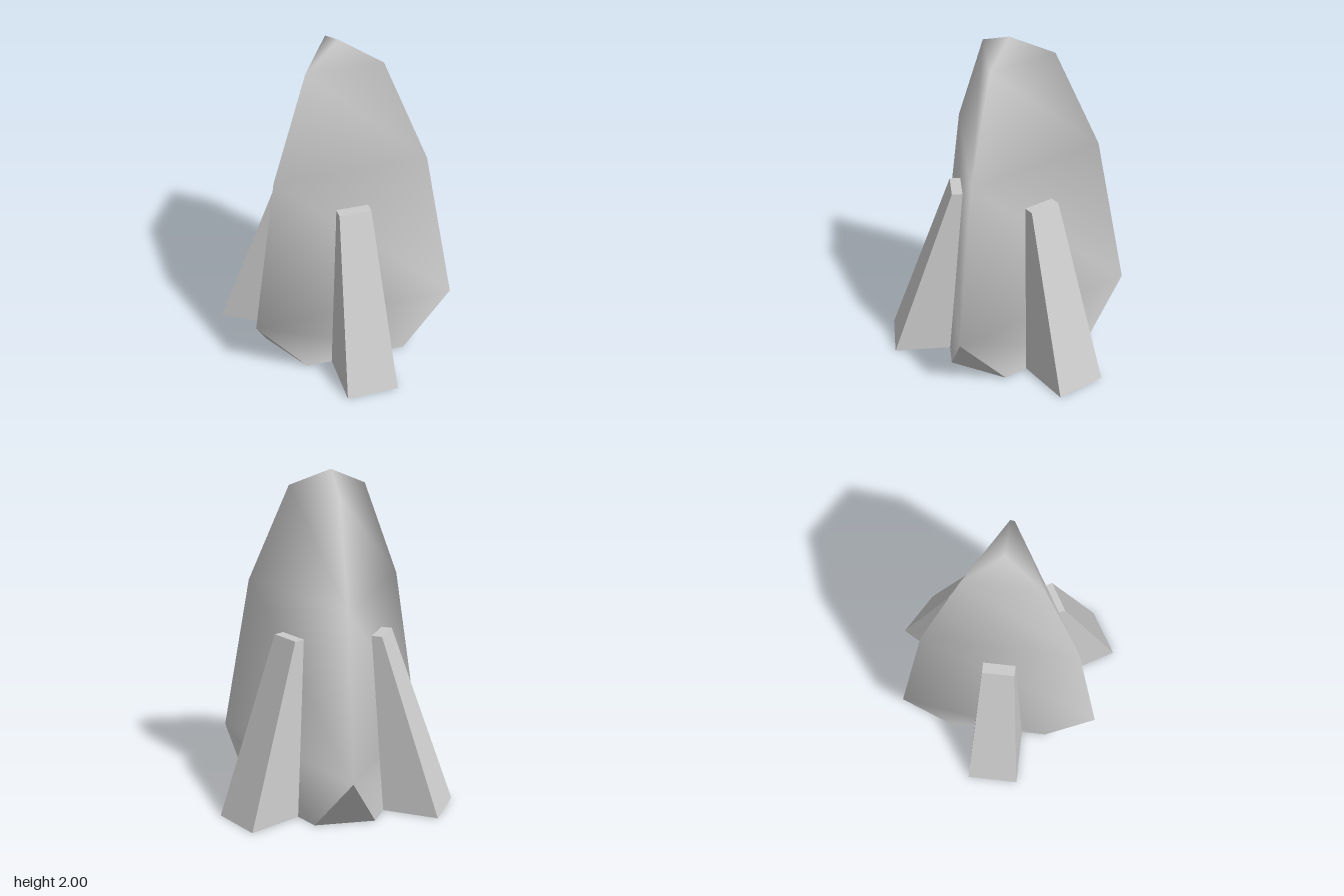
import * as THREE from 'three';

const THIRD = (Math.PI * 2) / 3;

// Point given by outward distance, sideways offset and height, turned to corner i
function turned(i, out, side, y) {
  return new THREE.Vector3(out, y, side).applyAxisAngle(new THREE.Vector3(0, 1, 0), -i * THIRD);
}

function meshFrom(points, index, name, material) {
  const geo = new THREE.BufferGeometry().setFromPoints(points);
  geo.setIndex(index);
  geo.computeVertexNormals();
  const mesh = new THREE.Mesh(geo, material);
  mesh.name = name;
  return mesh;
}

export function createModel() {
  const model = new THREE.Group();
  model.name = 'threeSidedRocket';
  const mat = new THREE.MeshStandardMaterial({ color: 0xcccccc });
  const parts = new THREE.Group();
  parts.position.x = 0.007;
  model.add(parts);

  // Triangular hull: corner rings [radius, height], smooth shaded, closed by a tip
  const rings = [[0.703, 0.35], [0.523, 1.3], [0.259, 1.89]];
  const foot = { out: 0.459, side: 0.18 };
  const points = [];
  const index = [];
  for (let i = 0; i < 3; i++) {
    points.push(turned(i, foot.out, foot.side, 0), turned(i, foot.out, -foot.side, 0));
    for (const [r, y] of rings) points.push(turned(i, r, 0, y));
  }
  points.push(new THREE.Vector3(0, 2, 0));
  const quad = (a, b, c, d) => index.push(a, b, c, a, c, d);
  for (let i = 0; i < 3; i++) {
    const p = i * 5;
    const q = ((i + 1) % 3) * 5;
    quad(p, p + 2, q + 2, q + 1);
    quad(p + 2, p + 3, q + 3, q + 2);
    quad(p + 3, p + 4, q + 4, q + 3);
    index.push(p + 4, 15, q + 4);
  }
  parts.add(meshFrom(points, index, 'hull', mat));

  // Flat cut under each hull corner, and the hexagonal underside
  const base = [];
  for (let i = 0; i < 3; i++) {
    const right = turned(i, foot.out, -foot.side, 0);
    const left = turned(i, foot.out, foot.side, 0);
    const corner = turned(i, rings[0][0], 0, rings[0][1]);
    parts.add(meshFrom([right, corner, left], [0, 1, 2], 'cornerCut', mat));
    base.push(right, left);
  }
  const fan = [0, 1, 2, 0, 2, 3, 0, 3, 4, 0, 4, 5];
  parts.add(meshFrom(base, fan, 'underside', mat));

  // Tapered fin: a box narrowed and pulled in at the top
  const finGeo = new THREE.BoxGeometry(1, 1.06, 1);
  const pos = finGeo.attributes.position;
  for (let i = 0; i < pos.count; i++) {
    const top = pos.getY(i) > 0;
    const outer = pos.getX(i) > 0;
    const x = outer ? (top ? 0.347 : 0.722) : 0.22;
    const z = Math.sign(pos.getZ(i)) * (top ? 0.095 : 0.155);
    pos.setXYZ(i, x, top ? 1.06 : 0, z);
  }
  finGeo.computeVertexNormals();
  for (let i = 0; i < 3; i++) {
    const fin = new THREE.Mesh(finGeo, mat);
    fin.name = 'fin';
    fin.rotation.y = -(i + 0.5) * THIRD;
    parts.add(fin);
  }
  return model;
}
